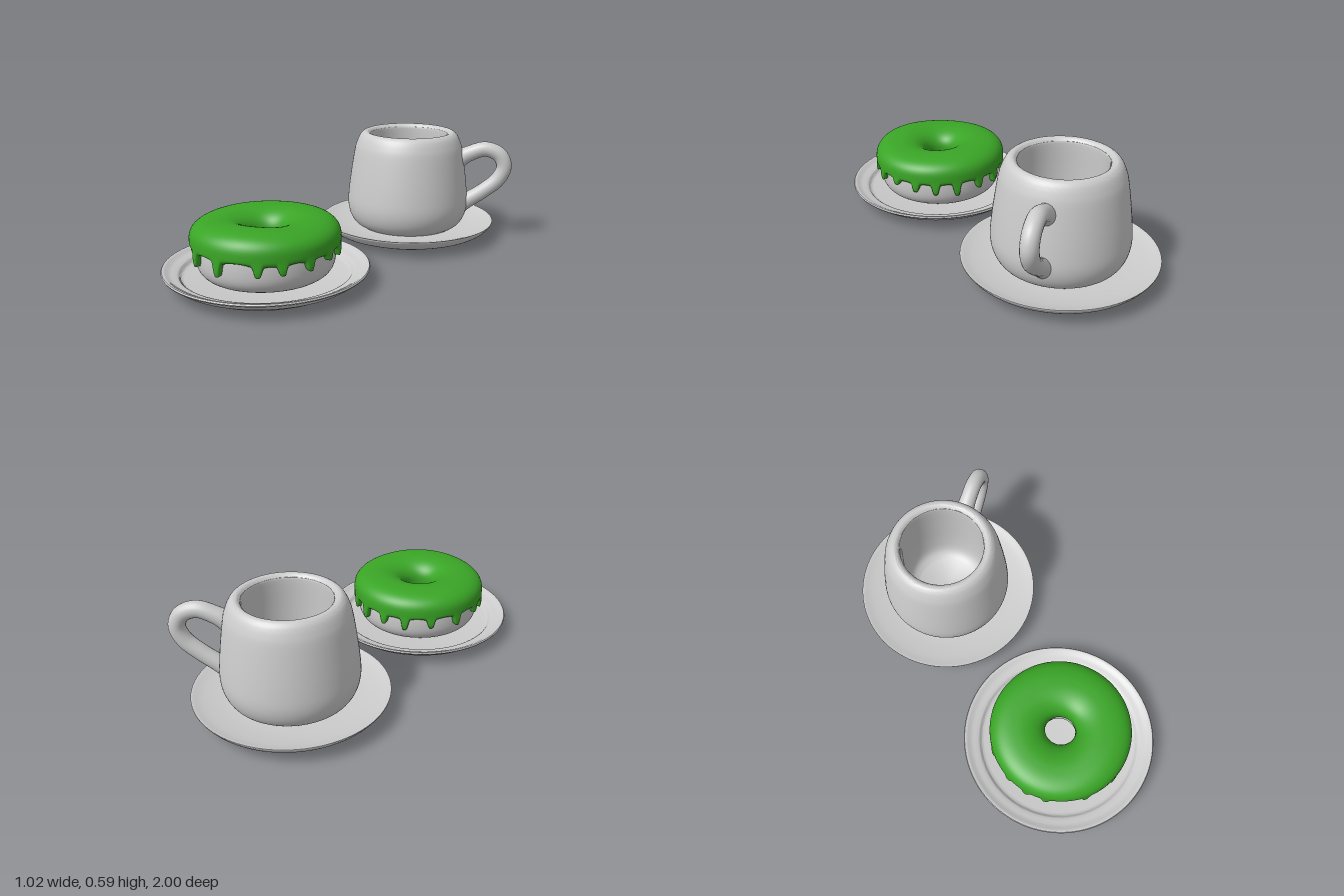
import * as THREE from 'three';
import { toCreasedNormals } from 'three/addons/utils/BufferGeometryUtils.js';

const ceramic = new THREE.MeshStandardMaterial({ color: 0xcccccc });
ceramic.name = 'pale grey';
const green = new THREE.MeshStandardMaterial({ color: 0x3aa526 });
green.name = 'green icing';

const vec2 = ([r, y]) => new THREE.Vector2(r, y);
const smooth = (pts, n = 40) => new THREE.SplineCurve(pts.map(vec2)).getPoints(n);

function mesh(name, geometry, material) {
  const m = new THREE.Mesh(geometry, material);
  m.name = name;
  return m;
}

// profile runs from the bottom centre outward, up, and back in over the top
function lathe(name, profile, material) {
  return mesh(name, toCreasedNormals(new THREE.LatheGeometry(profile, 96), 0.6), material);
}

// saucer with a recessed foot ring and a shallow sloping top
function makeSaucer() {
  return lathe('saucer', [
    ...[[0, 0.015], [0.275, 0.015], [0.283, 0.004], [0.295, 0], [0.311, 0.002], [0.317, 0.01], [0.32, 0.027]].map(vec2),
    ...smooth([[0.36, 0.029], [0.41, 0.038], [0.45, 0.062], [0.473, 0.09]], 12),
    ...smooth([[0.474, 0.094], [0.468, 0.095], [0.42, 0.08], [0.33, 0.065], [0.25, 0.06]], 14),
    vec2([0, 0.06]),
  ], ceramic);
}

// hollow cup with a rounded lip
function makeCup() {
  return lathe('cup', [
    vec2([0, 0.058]),
    ...smooth([[0.26, 0.06], [0.295, 0.085], [0.32, 0.13], [0.331, 0.19], [0.326, 0.27], [0.312, 0.38],
      [0.295, 0.485], [0.282, 0.53], [0.265, 0.565], [0.245, 0.583], [0.228, 0.584], [0.214, 0.572],
      [0.209, 0.55], [0.213, 0.4], [0.213, 0.25], [0.2, 0.15], [0.158, 0.11]], 70),
    vec2([0, 0.105]),
  ], ceramic);
}

// ear-shaped handle, thicker where it joins the cup
function makeHandle() {
  const angle = 0.653, rings = 64, sides = 20;
  const path = new THREE.CatmullRomCurve3([
    [0.265, 0.43], [0.33, 0.468], [0.42, 0.497], [0.495, 0.468], [0.522, 0.405],
    [0.495, 0.335], [0.42, 0.267], [0.34, 0.212], [0.275, 0.17],
  ].map(([d, y]) => new THREE.Vector3(d * Math.cos(angle), y, -d * Math.sin(angle))));
  const geo = new THREE.TubeGeometry(path, rings, 0.041, sides);
  const pos = geo.attributes.position, p = new THREE.Vector3();
  for (let i = 0; i <= rings; i++) {
    const t = i / rings, c = path.getPointAt(t);
    const scale = 1 + 0.4 * Math.pow(Math.abs(2 * t - 1), 8);
    for (let j = 0; j <= sides; j++) {
      const k = i * (sides + 1) + j;
      p.fromBufferAttribute(pos, k).sub(c).multiplyScalar(scale).add(c);
      pos.setXYZ(k, p.x, p.y, p.z);
    }
  }
  return mesh('handle', geo, ceramic);
}

// plate with a wide foot, raised rim and sunken floor
function makePlate() {
  return lathe('plate', [
    ...[[0, 0.012], [0.362, 0.012], [0.368, 0.008], [0.376, 0.008], [0.381, 0.013], [0.383, 0.028]].map(vec2),
    ...smooth([[0.415, 0.03], [0.445, 0.042], [0.468, 0.061], [0.488, 0.073]], 12),
    ...[[0.491, 0.079], [0.487, 0.085], [0.478, 0.085]].map(vec2),
    ...smooth([[0.47, 0.08], [0.45, 0.07], [0.425, 0.064], [0.41, 0.058], [0.4, 0.045], [0.385, 0.04]], 18),
    vec2([0, 0.04]),
  ], ceramic);
}

const power = (v, e) => Math.sign(v) * Math.pow(Math.abs(v), e);

// dough ring with a boxy rounded section
function makeDough() {
  const profile = [];
  for (let i = 0; i <= 48; i++) {
    const a = (i / 48) * Math.PI * 2;
    profile.push(vec2([0.207 + 0.123 * power(Math.cos(a), 0.72), 0.163 + 0.123 * power(Math.sin(a), 0.72)]));
  }
  return lathe('dough', profile, ceramic);
}

// drips as [angle in degrees from the front, lowest height]
const drips = [[15, 0.13], [47, 0.145], [65, 0.15], [87, 0.15], [108, 0.165], [128, 0.15], [146, 0.14],
  [165, 0.13], [187, 0.145], [207, 0.135], [230, 0.15], [255, 0.14], [280, 0.16], [298, 0.14],
  [315, 0.14], [348, 0.135]];

// height of the icing's lower edge, and how much of a drip there is, at an angle
function icingEdge(deg) {
  const n = drips.length;
  let next = drips.findIndex(([a]) => a > deg);
  if (next < 0) next = n;
  const [a0, y0] = drips[(next + n - 1) % n], [a1, y1] = drips[next % n];
  const span = (a1 - a0 + 360) % 360, from = (deg - a0 + 360) % 360;
  const bump = (d) => Math.exp(-Math.pow(d / 3.2, 4));
  const d0 = bump(from), d1 = bump(span - from);
  const arch = 0.172 + 0.0011 * Math.min(span, 27) * Math.sqrt(Math.sin(Math.PI * from / span));
  return { y: arch - (arch - y0) * d0 - (arch - y1) * d1, drip: Math.max(d0, d1) };
}

// icing section: curled lower edge, outer wall, domed top, down into the hole
function icingSection(angle) {
  const { y: edge, drip } = icingEdge(THREE.MathUtils.radToDeg(angle));
  const wave = 0.004 * Math.sin(2 * angle + 0.6) + 0.002 * Math.sin(3 * angle);
  const section = [[0.31, edge + 0.012], [0.33, edge + 0.002]];
  for (let i = 0; i <= 10; i++) {
    const w = i / 10;
    const curl = 0.014 * Math.pow(1 - w, 4);
    section.push([0.355 - curl + 0.012 * drip * (1 - w) * (1 - w), edge + (0.225 - edge) * w]);
  }
  for (let i = 1; i <= 26; i++) {
    const a = (i / 26) * Math.PI, c = Math.cos(a), s = Math.sin(a);
    const outer = c > 0, e = outer ? 0.78 : 0.95;
    section.push([0.215 + (outer ? 0.14 : 0.137) * power(c, e), 0.225 + (0.094 + wave) * power(s, e)]);
  }
  section.push([0.078, 0.18], [0.088, 0.14]);
  return section;
}

function makeIcing() {
  const around = 600, positions = [], index = [];
  let rows = 0;
  for (let i = 0; i < around; i++) {
    const angle = (i / around) * Math.PI * 2, section = icingSection(angle);
    rows = section.length;
    for (const [r, y] of section) positions.push(r * Math.sin(angle), y, r * Math.cos(angle));
  }
  for (let i = 0; i < around; i++) {
    for (let j = 0; j < rows - 1; j++) {
      const a = i * rows + j, b = ((i + 1) % around) * rows + j;
      index.push(a, b, a + 1, b, b + 1, a + 1);
    }
  }
  const geo = new THREE.BufferGeometry();
  geo.setAttribute('position', new THREE.Float32BufferAttribute(positions, 3));
  geo.setIndex(index);
  geo.computeVertexNormals();
  return mesh('icing', geo, green);
}

export function createModel() {
  const model = new THREE.Group();
  model.name = 'cup and doughnut';

  const cupSet = new THREE.Group();
  cupSet.name = 'cupAndSaucer';
  cupSet.position.set(-0.04, 0, -0.525);
  cupSet.add(makeSaucer(), makeCup(), makeHandle());

  const doughnutSet = new THREE.Group();
  doughnutSet.name = 'doughnutOnPlate';
  doughnutSet.position.set(0.015, 0, 0.508);
  doughnutSet.add(makePlate(), makeDough(), makeIcing());

  model.add(cupSet, doughnutSet);
  return model;
}
